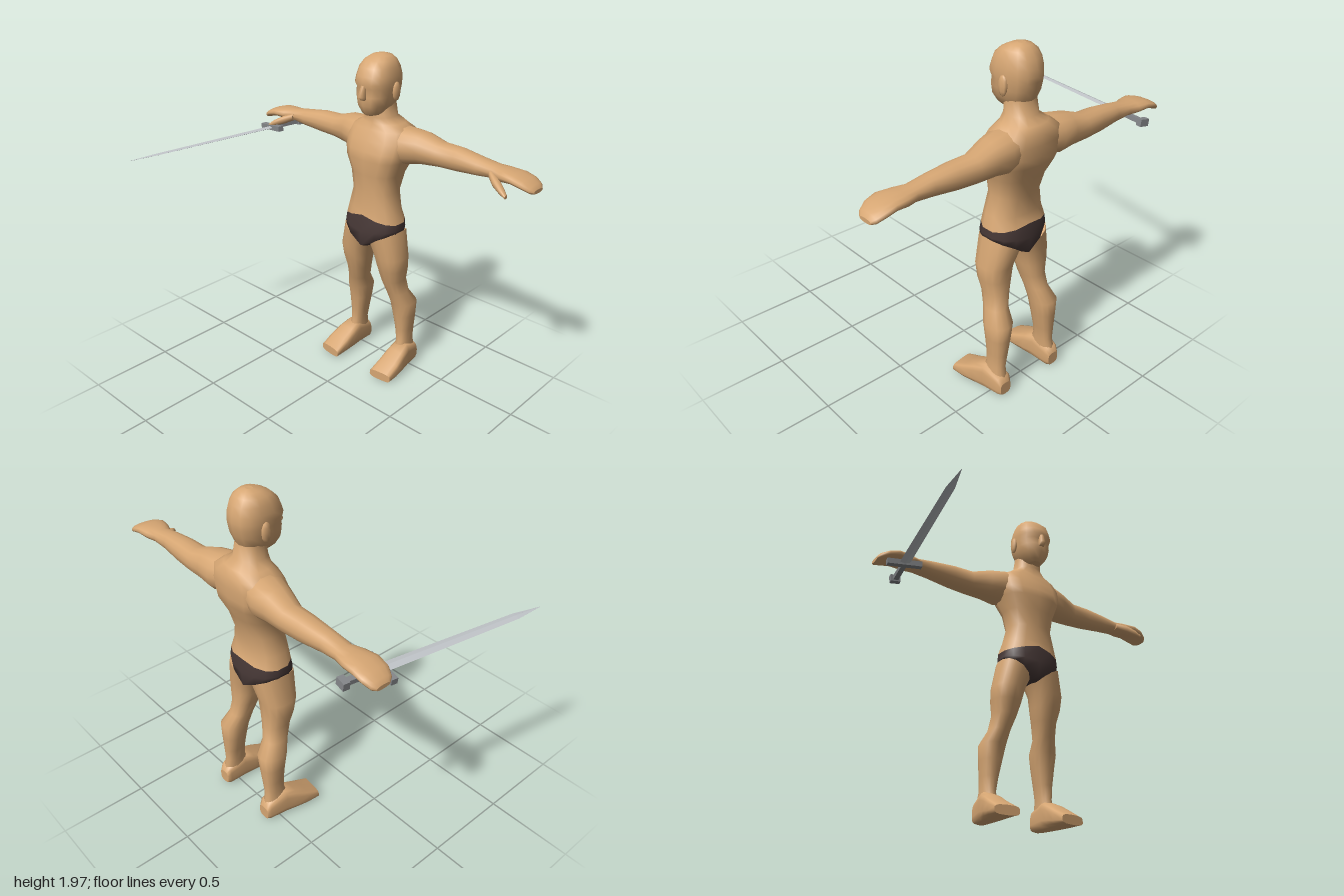
import * as THREE from 'three';

const mat = (name, color) => new THREE.MeshStandardMaterial({ name, color });

// Superellipse angle table shared by every cross-section
const N = 14;
const spow = (v, e) => Math.sign(v) * Math.pow(Math.abs(v), e);
const unit = (e) => Array.from({ length: N }, (_, i) => {
  const a = (i / N) * Math.PI * 2;
  return [spow(Math.sin(a), e), spow(Math.cos(a), e)];
});

// Horizontal section: height, x range, front z, back z; lift(u, v) bends the height
const ringY = (y, x0, x1, zf, zb, e = 0.85, lift = () => 0) => unit(e).map(([u, v]) =>
  new THREE.Vector3((x0 + x1) / 2 + u * (x1 - x0) / 2, y + lift(u, v), (zf + zb) / 2 + v * (zf - zb) / 2));
// Section across x: bottom, top, front z, back z
const ringX = (x, yb, yt, zf, zb) => unit(0.9).map(([u, v]) =>
  new THREE.Vector3(x, (yb + yt) / 2 + u * (yt - yb) / 2, (zf + zb) / 2 + v * (zf - zb) / 2));
// Section across z: x range, bottom, top
const ringZ = (z, x0, x1, yb, yt) => unit(0.6).map(([u, v]) =>
  new THREE.Vector3((x0 + x1) / 2 + u * (x1 - x0) / 2, (yb + yt) / 2 + v * (yt - yb) / 2, z));

// Skin a row of sections, close both ends and face the triangles outward
function loft(name, rings, material, side = 1) {
  const n = rings[0].length, pos = [], idx = [];
  const push = (p) => pos.push(p.x * side, p.y, p.z) / 3 - 1;
  rings.forEach((r) => r.forEach(push));
  for (let k = 0; k < rings.length - 1; k++) {
    for (let i = 0; i < n; i++) {
      const a = k * n + i, b = k * n + (i + 1) % n;
      idx.push(a, b, a + n, b, b + n, a + n);
    }
  }
  [rings[0], rings[rings.length - 1]].forEach((r, end) => {
    const mid = r.reduce((s, p) => s.add(p), new THREE.Vector3()).divideScalar(n);
    const c = push(mid), ids = r.map(push);
    ids.forEach((a, i) => {
      const b = ids[(i + 1) % n];
      idx.push(...(end ? [a, b, c] : [b, a, c]));
    });
  });
  const P = (i) => new THREE.Vector3().fromArray(pos, i * 3);
  let volume = 0;
  for (let t = 0; t < idx.length; t += 3) volume += P(idx[t]).dot(P(idx[t + 1]).cross(P(idx[t + 2])));
  if (volume < 0) idx.reverse();
  const g = new THREE.BufferGeometry();
  g.setAttribute('position', new THREE.Float32BufferAttribute(pos, 3));
  g.setIndex(idx);
  g.computeVertexNormals();
  const m = new THREE.Mesh(g, material);
  m.name = name;
  return m;
}

export function createModel() {
  const skin = mat('skin', 0xd6a673);
  const cloth = mat('dark cloth', 0x483937);
  const steel = mat('blade steel', 0xc2c6ca);
  const iron = mat('hilt iron', 0x85878a);

  const model = new THREE.Group();
  model.name = 'swordsman';
  const body = new THREE.Group();
  body.name = 'body';
  body.position.x = 0.012;
  model.add(body);

  // Torso and neck, from waistband upward
  const sym = ([y, w, zf, zb, e]) => ringY(y, -w, w, zf, zb, e);
  const waistband = ringY(1.0, -0.188, 0.188, -0.28, -0.535, 0.85,
    (u, v) => (v > 0 ? 0.045 : 0.025) * (1 - Math.abs(u)));
  body.add(loft('torso', [waistband, ...[
    [1.075, 0.168, -0.287, -0.515], [1.18, 0.14, -0.295, -0.52],
    [1.29, 0.16, -0.287, -0.55], [1.38, 0.192, -0.28, -0.588, 0.7],
    [1.43, 0.205, -0.288, -0.593, 0.7], [1.49, 0.21, -0.31, -0.595, 0.7],
    [1.55, 0.19, -0.338, -0.59, 0.75], [1.585, 0.13, -0.355, -0.565],
    [1.62, 0.085, -0.355, -0.525], [1.7, 0.08, -0.36, -0.505],
  ].map(sym)], skin));

  // Briefs: peaked waistband, V-shaped leg line
  body.add(loft('briefs', [
    waistband,
    ringY(0.95, -0.19, 0.19, -0.268, -0.545, 0.85, (u) => 0.022 * Math.abs(u) - 0.01),
    ringY(0.848, -0.19, 0.19, -0.275, -0.537, 0.85, (u) => 0.1 * Math.abs(u)),
    ringY(0.838, -0.03, 0.03, -0.3, -0.51),
  ], cloth));

  // Head
  body.add(loft('head', [
    [1.64, 0.04, -0.305, -0.46], [1.655, 0.058, -0.288, -0.485], [1.7, 0.09, -0.268, -0.51],
    [1.75, 0.104, -0.266, -0.53], [1.795, 0.108, -0.272, -0.538], [1.822, 0.111, -0.255, -0.541],
    [1.86, 0.11, -0.268, -0.538], [1.905, 0.1, -0.286, -0.525], [1.94, 0.084, -0.325, -0.5],
    [1.962, 0.055, -0.37, -0.475], [1.97, 0.02, -0.41, -0.445],
  ].map(sym), skin));
  body.add(loft('nose', [
    [1.815, 0.013, -0.256, -0.29], [1.755, 0.022, -0.233, -0.29], [1.735, 0.018, -0.255, -0.29],
  ].map(sym), skin));

  for (const s of [1, -1]) {
    const label = s > 0 ? 'left' : 'right';

    // Ear
    const ear = new THREE.Mesh(new THREE.SphereGeometry(1, 8, 6), skin);
    ear.name = label + 'Ear';
    ear.scale.set(0.016, 0.055, 0.03);
    ear.position.set(s * 0.111, 1.775, -0.42);
    body.add(ear);

    // Arm running out to the curled fingers
    body.add(loft(label + 'Arm', [
      [0.1, 1.38, 1.575, -0.37, -0.57], [0.18, 1.36, 1.57, -0.355, -0.59],
      [0.27, 1.378, 1.56, -0.39, -0.587], [0.38, 1.385, 1.525, -0.425, -0.58],
      [0.5, 1.39, 1.523, -0.43, -0.572], [0.64, 1.403, 1.505, -0.435, -0.555],
      [0.74, 1.415, 1.49, -0.44, -0.555], [0.8, 1.415, 1.488, -0.415, -0.57],
      [0.87, 1.425, 1.482, -0.402, -0.578], [0.93, 1.413, 1.464, -0.408, -0.578],
      [0.972, 1.395, 1.442, -0.43, -0.562], [0.988, 1.397, 1.42, -0.455, -0.54],
    ].map((r) => ringX(...r)), skin, s));
    body.add(loft(label + 'Thumb', [
      [0.73, 1.425, 1.465, -0.43, -0.48], [0.785, 1.398, 1.45, -0.385, -0.45],
      [0.84, 1.38, 1.42, -0.365, -0.412], [0.878, 1.37, 1.39, -0.36, -0.385],
    ].map((r) => ringX(...r)), skin, s));

    // Leg, its top cut on the slope of the briefs
    body.add(loft(label + 'Leg', [
      ringY(0.9, 0.005, 0.188, -0.288, -0.528, 0.85, (u) => 0.05 * u),
      ...[
        [0.78, 0.035, 0.224, -0.305, -0.51], [0.7, 0.05, 0.222, -0.325, -0.507],
        [0.62, 0.07, 0.205, -0.348, -0.508], [0.53, 0.095, 0.215, -0.38, -0.523],
        [0.45, 0.1, 0.247, -0.408, -0.575], [0.36, 0.115, 0.241, -0.424, -0.571],
        [0.26, 0.135, 0.232, -0.435, -0.565], [0.18, 0.148, 0.228, -0.437, -0.56],
        [0.1, 0.146, 0.238, -0.41, -0.575],
      ].map((r) => ringY(...r)),
    ], skin, s));
    const foot = [
      [-0.585, 0.155, 0.23, 0.012, 0.09], [-0.565, 0.143, 0.242, 0.005, 0.13],
      [-0.46, 0.14, 0.26, 0, 0.17], [-0.39, 0.135, 0.275, 0, 0.14],
      [-0.32, 0.134, 0.286, 0, 0.1], [-0.235, 0.136, 0.286, 0, 0.055],
    ].map((r) => ringZ(...r));
    // Toes reach further on the inner side
    foot[5].forEach((p) => { p.z += 0.1 * (0.211 - p.x); });
    body.add(loft(label + 'Foot', foot, skin, s));
  }

  // Sword held level in the right hand, pointing forward
  const sword = new THREE.Group();
  sword.name = 'sword';
  sword.position.set(-0.845, 1.37, -0.375);
  sword.rotation.set(0.015, -0.162, 0.12, 'YXZ');
  model.add(sword);
  const box = (name, w, h, d, z) => {
    const m = new THREE.Mesh(new THREE.BoxGeometry(w, h, d), iron);
    m.name = name;
    m.position.z = z;
    sword.add(m);
  };
  box('guard', 0.2, 0.032, 0.036, 0);
  box('grip', 0.03, 0.026, 0.2, -0.1);
  box('pommel', 0.058, 0.042, 0.036, -0.207);

  // Diamond-section blade, each face flat
  const diamond = (z, w, h) => [[w, 0], [0, h], [-w, 0], [0, -h]].map(([x, y]) => new THREE.Vector3(x, y, z));
  const blade = loft('blade', [
    diamond(0, 0.03, 0.009), diamond(0.82, 0.023, 0.006), diamond(0.988, 0.001, 0.0008),
  ], steel);
  blade.geometry = blade.geometry.toNonIndexed();
  blade.geometry.computeVertexNormals();
  sword.add(blade);

  return model;
}
